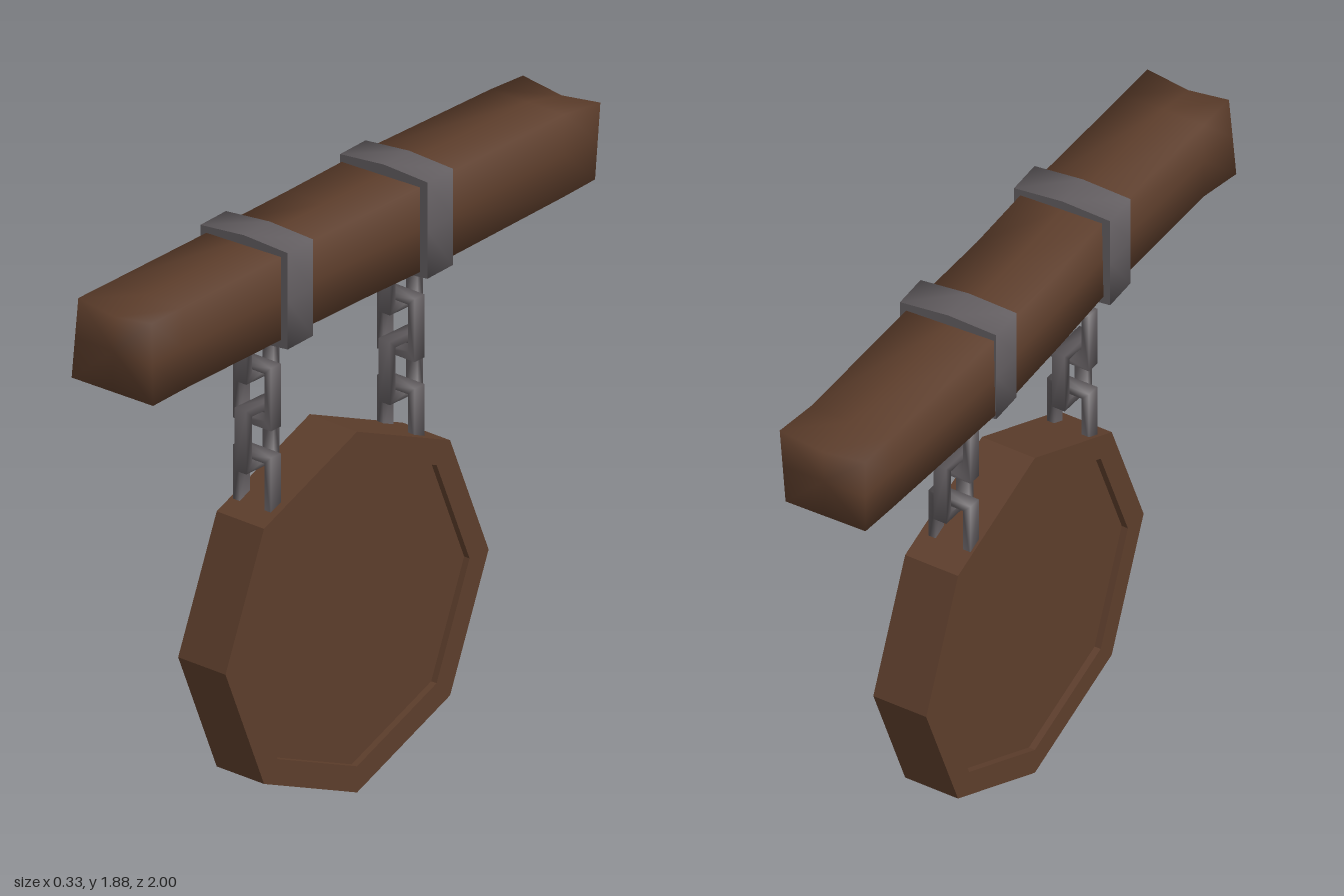
import * as THREE from 'three';
import { mergeVertices } from 'three/addons/utils/BufferGeometryUtils.js';

// Ring of eight points: corners and side midpoints of a worked, uneven square section
function section([z, lowLeft, topLeft, lowRight, topRight, bottom, top, bulge = 0]) {
  const midY = (bottom + top) / 2;
  return [
    [lowRight, bottom, z], [(lowRight + topRight) / 2, midY, z], [topRight, top, z],
    [(topLeft + topRight) / 2, top + bulge, z],
    [topLeft, top, z], [(lowLeft + topLeft) / 2, midY, z], [lowLeft, bottom, z],
    [(lowLeft + lowRight) / 2, bottom - Math.max(bulge, 0), z],
  ];
}

// Skin through the sections (ordered by rising z); hardCaps keeps the end edges sharp
function loft(rows, hardCaps) {
  const rings = rows.map(section);
  const n = 8;
  const pos = rings.flat(2);
  const index = [];
  for (let r = 0; r < rings.length - 1; r++) {
    for (let i = 0; i < n; i++) {
      const a = r * n + i, b = r * n + (i + 1) % n;
      index.push(a, b, b + n, a, b + n, a + n);
    }
  }
  for (const end of [0, rings.length - 1]) {
    const ring = rings[end];
    let first = end * n;
    if (hardCaps) {
      first = pos.length / 3;
      pos.push(...ring.flat());
    }
    const centre = pos.length / 3;
    pos.push((ring[1][0] + ring[5][0]) / 2, ring[1][1], ring[0][2]);
    for (let i = 0; i < n; i++) {
      const a = first + i, b = first + (i + 1) % n;
      if (end) index.push(centre, a, b);
      else index.push(centre, b, a);
    }
  }
  const g = new THREE.BufferGeometry();
  g.setAttribute('position', new THREE.Float32BufferAttribute(pos, 3));
  g.setIndex(index);
  g.computeVertexNormals();
  return g;
}

function extrude(outline, hole, depth) {
  const shape = new THREE.Shape(outline);
  if (hole) shape.holes.push(new THREE.Path(hole));
  return new THREE.ExtrudeGeometry(shape, { depth, bevelEnabled: false }).translate(0, 0, -depth / 2);
}

const rect = (w, h) => [[-w, -h], [w, -h], [w, h], [-w, h]].map(([x, y]) => new THREE.Vector2(x / 2, y / 2));

const octagon = (radius) => Array.from({ length: 8 }, (_, i) =>
  new THREE.Vector2(radius * Math.cos(i * Math.PI / 4), radius * Math.sin(i * Math.PI / 4)));

// Rectangular chain link with soft shading
function linkGeometry(width, height) {
  const bar = 0.025;
  let g = extrude(rect(width, height), rect(width - 2 * bar, height - 2 * bar), 0.044);
  g.deleteAttribute('normal');
  g.deleteAttribute('uv');
  g = mergeVertices(g);
  g.computeVertexNormals();
  return g;
}

export function createModel() {
  const wood = new THREE.MeshStandardMaterial({ color: 0x5c3d2b });
  wood.name = 'brown wood';
  const iron = new THREE.MeshStandardMaterial({ color: 0x615c5f });
  iron.name = 'grey iron';

  const model = new THREE.Group();
  model.name = 'hangingSign';
  const add = (parent, name, geometry, material) => {
    const mesh = new THREE.Mesh(geometry, material);
    mesh.name = name;
    parent.add(mesh);
    return mesh;
  };

  // Hewn beam: z, x of the four corners, bottom, top, top-middle offset
  add(model, 'beam', loft([
    [-1, -0.135, -0.135, 0.135, 0.155, 1.585, 1.835, -0.02],
    [-0.86, -0.14, -0.14, 0.135, 0.135, 1.58, 1.84],
    [-0.3, -0.16, -0.155, 0.135, 0.135, 1.57, 1.84],
    [0.05, -0.15, -0.145, 0.13, 0.13, 1.575, 1.84],
    [0.3, -0.14, -0.135, 0.135, 0.135, 1.58, 1.845],
    [0.86, -0.14, -0.14, 0.135, 0.135, 1.58, 1.84],
    [1, -0.165, -0.14, 0.14, 0.135, 1.58, 1.84, -0.02],
  ]), wood);

  // Iron bands and chains
  const bandRow = (z) => [z, -0.16, -0.16, 0.158, 0.158, 1.557, 1.863, 0.012];
  const bandGeometry = loft([bandRow(-0.06), bandRow(0.06)], true);
  const link = linkGeometry(0.145, 0.2);
  const linkHeights = [1.51, 1.36, 1.225, 1.075];
  for (const [side, z, x] of [['front', 0.362, 0], ['back', -0.268, 0.015]]) {
    const band = add(model, side + 'Band', bandGeometry, iron);
    band.position.z = z;
    band.rotation.y = 0.035;

    const chain = new THREE.Group();
    chain.name = side + 'Chain';
    chain.position.set(x, 0, z);
    model.add(chain);
    linkHeights.forEach((y, i) => {
      const mesh = add(chain, 'link', link, iron);
      mesh.position.y = y;
      mesh.rotation.y = i % 2 ? -0.03 : Math.PI / 2 - 0.03;
    });
  }

  // Octagonal board with a raised rim on both faces
  const board = new THREE.Group();
  board.name = 'board';
  board.position.set(0.016, 0.573, 0.037);
  board.rotation.y = Math.PI / 2 - 0.03;
  add(board, 'rim', extrude(octagon(0.573), octagon(0.49), 0.182), wood);
  add(board, 'panel', extrude(octagon(0.49), null, 0.14), wood);
  model.add(board);

  return model;
}
